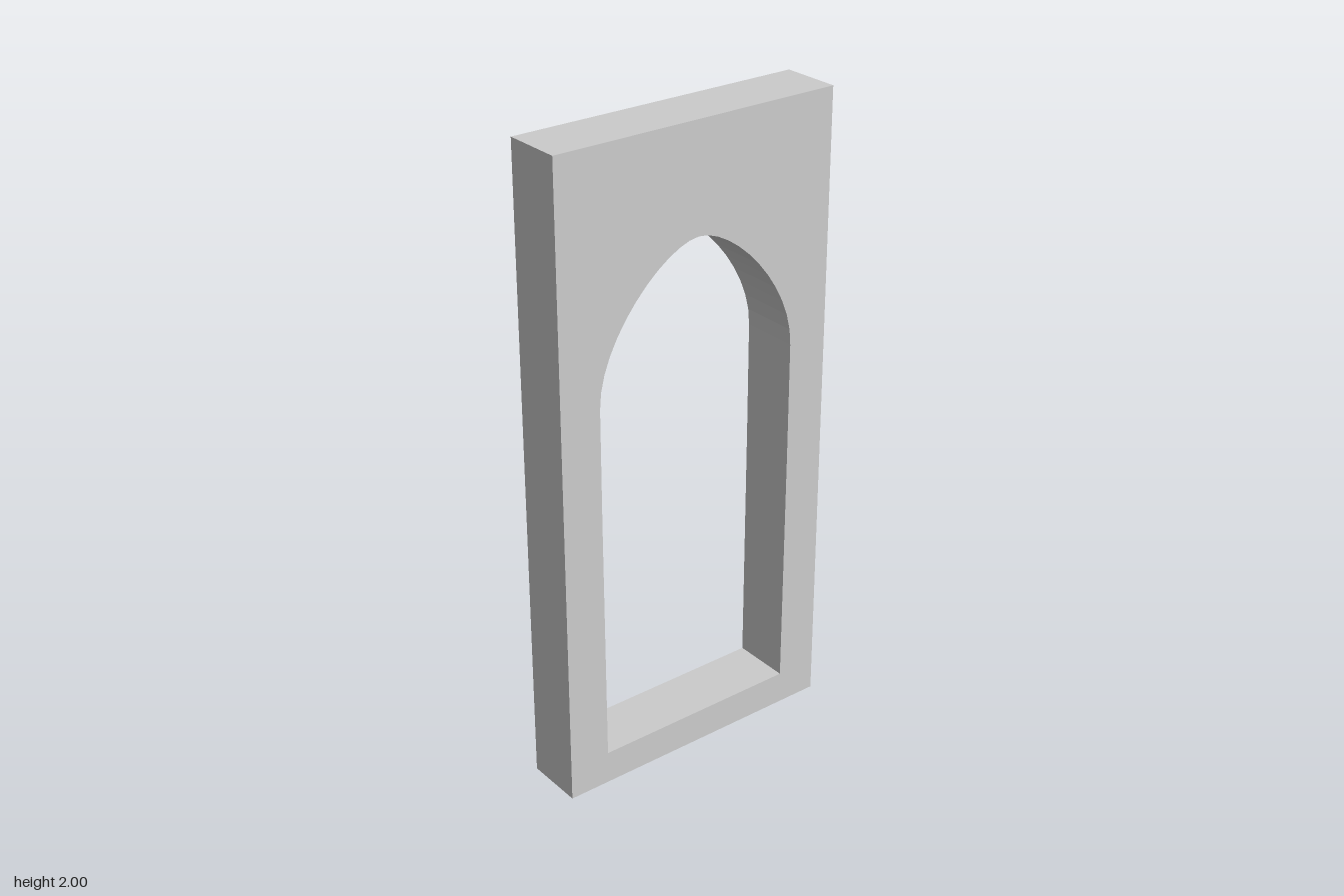
import * as THREE from 'three';

const WIDTH = 0.94, HEIGHT = 2, DEPTH = 0.186;
const SILL = 0.105, SPRING = 1.25, APEX = 1.67, HALF_OPENING = 0.34;

export function createModel() {
  const group = new THREE.Group();
  group.name = 'archedFrame';

  // Rectangular slab outline
  const w = WIDTH / 2;
  const outline = new THREE.Shape([
    new THREE.Vector2(-w, 0),
    new THREE.Vector2(w, 0),
    new THREE.Vector2(w, HEIGHT),
    new THREE.Vector2(-w, HEIGHT),
  ]);

  // Opening: straight jambs, gently pointed arch, flat sill
  const h = HALF_OPENING;
  const opening = new THREE.Path();
  opening.moveTo(-h + 0.003, SILL);
  opening.lineTo(-h, 0.89);
  opening.lineTo(-h, SPRING);
  opening.bezierCurveTo(-h, 1.45, -0.12, APEX, 0, APEX);
  opening.bezierCurveTo(0.12, APEX, h, 1.45, h, SPRING);
  opening.lineTo(h, 0.89);
  opening.lineTo(h - 0.003, SILL);
  opening.closePath();
  outline.holes.push(opening);

  const geometry = new THREE.ExtrudeGeometry(outline, {
    depth: DEPTH,
    bevelEnabled: false,
    curveSegments: 12,
  });
  geometry.translate(0, 0, -DEPTH / 2);

  const frame = new THREE.Mesh(
    geometry,
    new THREE.MeshStandardMaterial({ color: 0xcccccc, flatShading: true })
  );
  frame.name = 'frame';
  group.add(frame);
  return group;
}
